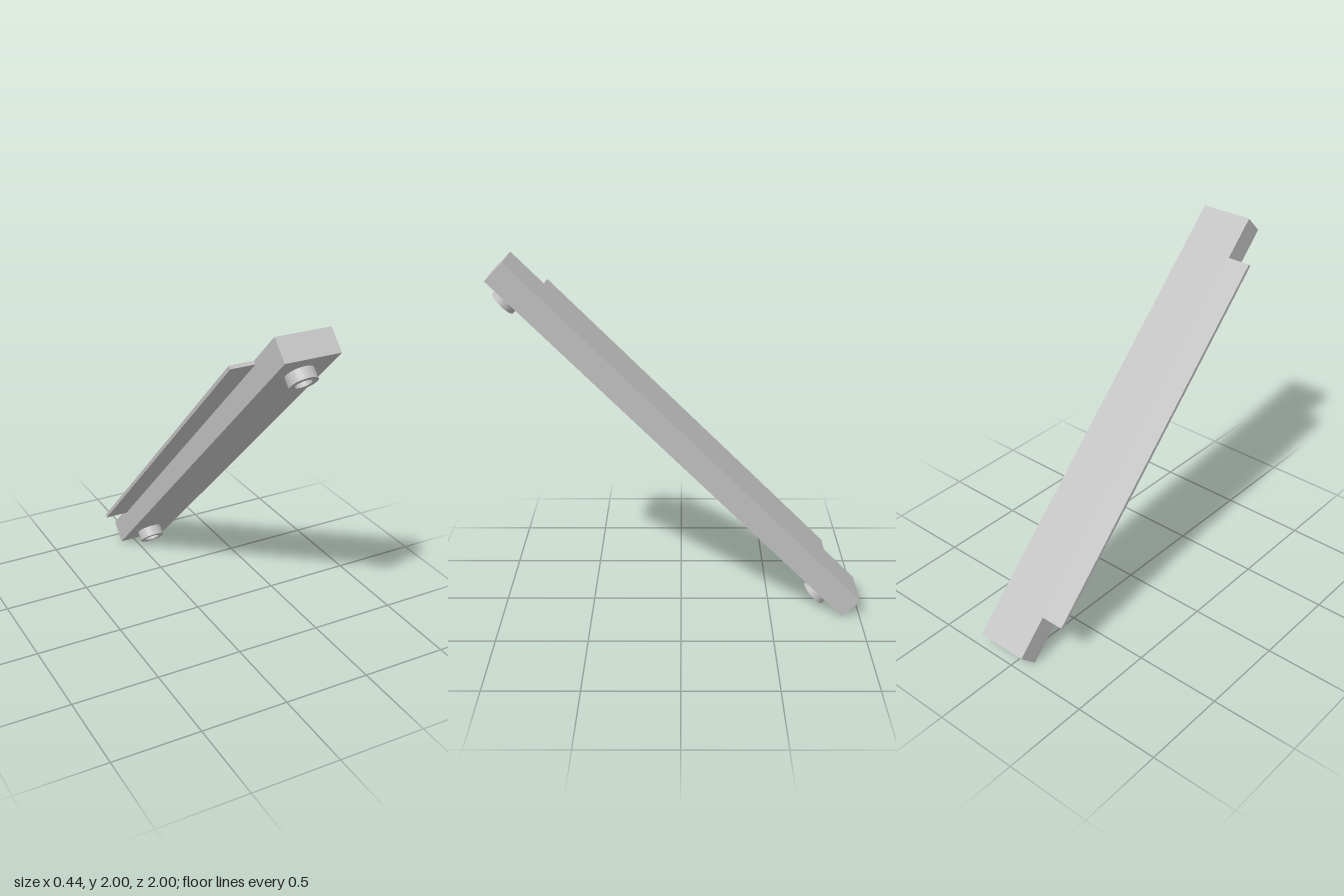
import * as THREE from 'three';
import { toCreasedNormals } from 'three/addons/utils/BufferGeometryUtils.js';

const HALF_LENGTH = 1.3465, THICK = 0.136, PLATE = 0.02;
const X0 = -0.085, X1 = 0.22, FLANGE_X = -0.22, FLANGE_HALF = 1.1;
const BOSS_X = 0.063, BOSS_S = 1.194, BOSS_R = 0.074, HOLE_R = 0.044, BOSS_H = 0.059;

function outline(points) {
  return new THREE.Shape(points.map(([x, y]) => new THREE.Vector2(x, y)));
}

function circle(x, y, r, Type = THREE.Path) {
  const path = new Type();
  path.absarc(x, y, r, 0, Math.PI * 2, false);
  return path;
}

function extrude(shape, depth, z) {
  const geo = new THREE.ExtrudeGeometry(shape, { depth, bevelEnabled: false, curveSegments: 24 });
  geo.translate(0, 0, z);
  return toCreasedNormals(geo, 0.6);
}

export function createModel() {
  const grey = new THREE.MeshStandardMaterial({ color: 0xc0c0c0 });
  grey.name = 'light grey';
  const model = new THREE.Group();
  model.name = 'slantedBar';

  // Local frame: x across, y along the bar, +z out of the underside
  const bar = new THREE.Group();
  bar.name = 'bar';
  bar.position.y = 1;
  bar.rotation.x = Math.PI / 4;
  model.add(bar);

  const add = (name, geo) => {
    const mesh = new THREE.Mesh(geo, grey);
    mesh.name = name;
    bar.add(mesh);
  };

  // Thin upper plate, including the side flange
  const H = HALF_LENGTH, F = FLANGE_HALF;
  const plate = outline([
    [X1, -H], [X1, H], [X0, H], [X0, F],
    [FLANGE_X, F], [FLANGE_X, -F], [X0, -F], [X0, -H],
  ]);
  add('flangedPlate', extrude(plate, PLATE, -THICK / 2));

  // Thick body with two blind holes
  const body = outline([[X0, -H], [X1, -H], [X1, H], [X0, H]]);
  for (const s of [-BOSS_S, BOSS_S]) body.holes.push(circle(BOSS_X, s, HOLE_R));
  add('body', extrude(body, THICK - PLATE, -THICK / 2 + PLATE));

  // Hollow round bosses on the underside
  for (const [name, s] of [['lowerBoss', -BOSS_S], ['upperBoss', BOSS_S]]) {
    const ring = circle(BOSS_X, s, BOSS_R, THREE.Shape);
    ring.holes.push(circle(BOSS_X, s, HOLE_R));
    add(name, extrude(ring, BOSS_H, THICK / 2));
  }
  return model;
}
